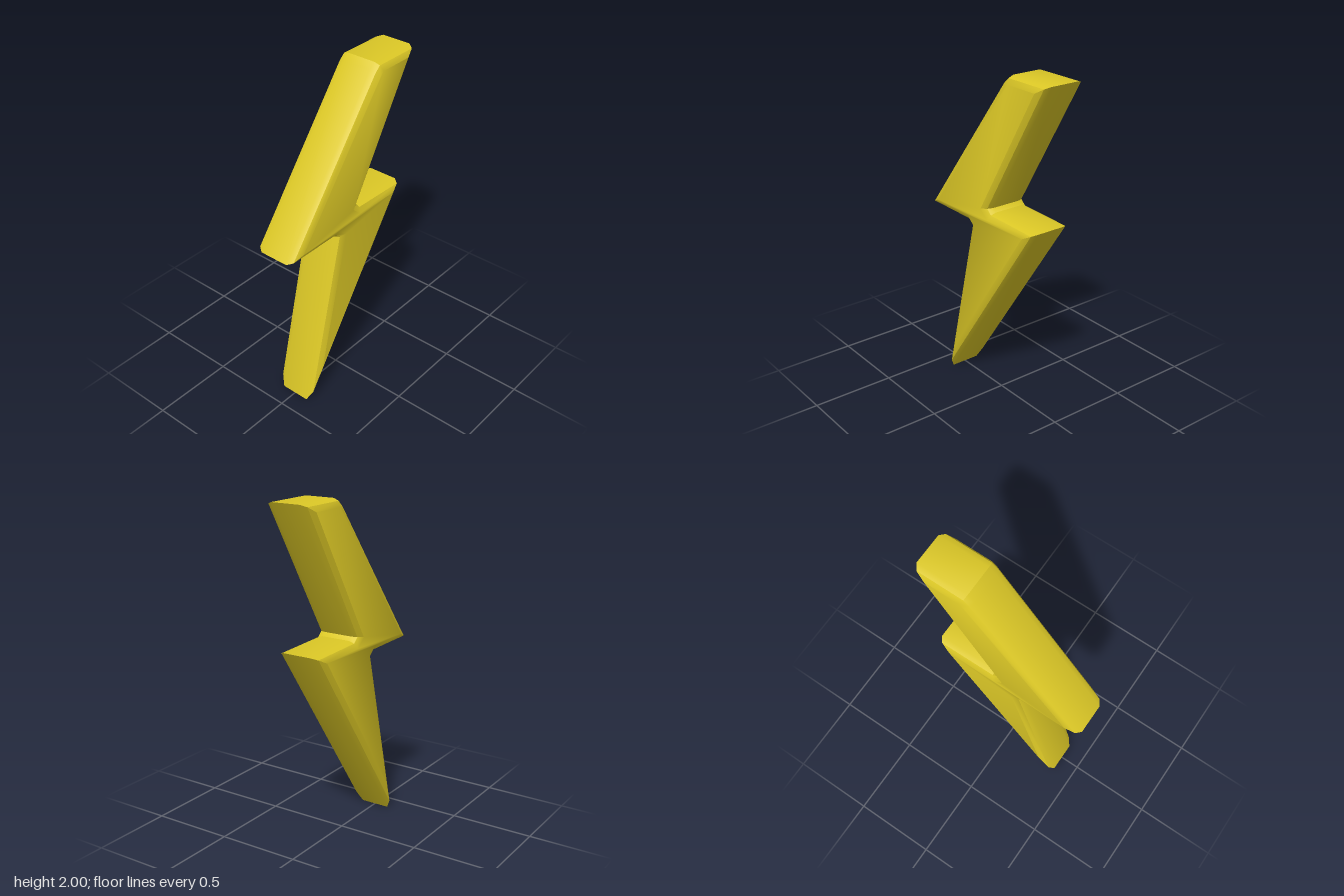
import * as THREE from 'three';
import { toCreasedNormals } from 'three/addons/utils/BufferGeometryUtils.js';

// Bolt outline, counter-clockwise seen from the front
const outline = [
  [-0.38, 0], [0.43, 1.18], [0.065, 1.19], [0.042, 1.21], [0.515, 2],
  [0.21, 2], [0.17, 1.965], [-0.515, 1.085], [-0.15, 1.083], [-0.122, 1.06],
].map(([x, y]) => new THREE.Vector2(x, y));

// Rounded edge: [inset from the outline, z], from back to front
const half = [[0.042, 0.14], [0.012, 0.122], [0, 0.09]];
const profile = [...half.map(([d, z]) => [d, -z]), ...half.slice().reverse()];

// Moves every edge inwards by d and mitres the corners
function inset(points, d) {
  return points.map((p, i) => {
    const a = p.clone().sub(points.at(i - 1)).normalize();
    const b = points[(i + 1) % points.length].clone().sub(p).normalize();
    const k = d / (1 + a.dot(b));
    return new THREE.Vector2(p.x - (a.y + b.y) * k, p.y + (a.x + b.x) * k);
  });
}

function boltGeometry() {
  const n = outline.length;
  const positions = [];
  const index = [];
  for (const [d, z] of profile) {
    for (const p of inset(outline, d)) positions.push(p.x, p.y, z);
  }
  // Side wall and rounded edges
  for (let r = 0; r < profile.length - 1; r++) {
    for (let i = 0; i < n; i++) {
      const a = r * n + i, b = r * n + (i + 1) % n;
      index.push(a, b, b + n, a, b + n, a + n);
    }
  }
  // Front and back faces
  const last = (profile.length - 1) * n;
  for (const [a, b, c] of THREE.ShapeUtils.triangulateShape(inset(outline, half[0][0]), [])) {
    index.push(last + a, last + b, last + c, c, b, a);
  }
  const geometry = new THREE.BufferGeometry();
  geometry.setAttribute('position', new THREE.Float32BufferAttribute(positions, 3));
  geometry.setIndex(index);
  return toCreasedNormals(geometry, 0.6);
}

export function createModel() {
  const yellow = new THREE.MeshStandardMaterial({ color: 0xdcc826 });
  yellow.name = 'yellow';
  const bolt = new THREE.Mesh(boltGeometry(), yellow);
  bolt.name = 'lightningBolt';
  const model = new THREE.Group();
  model.name = 'lightningBoltModel';
  model.add(bolt);
  return model;
}
